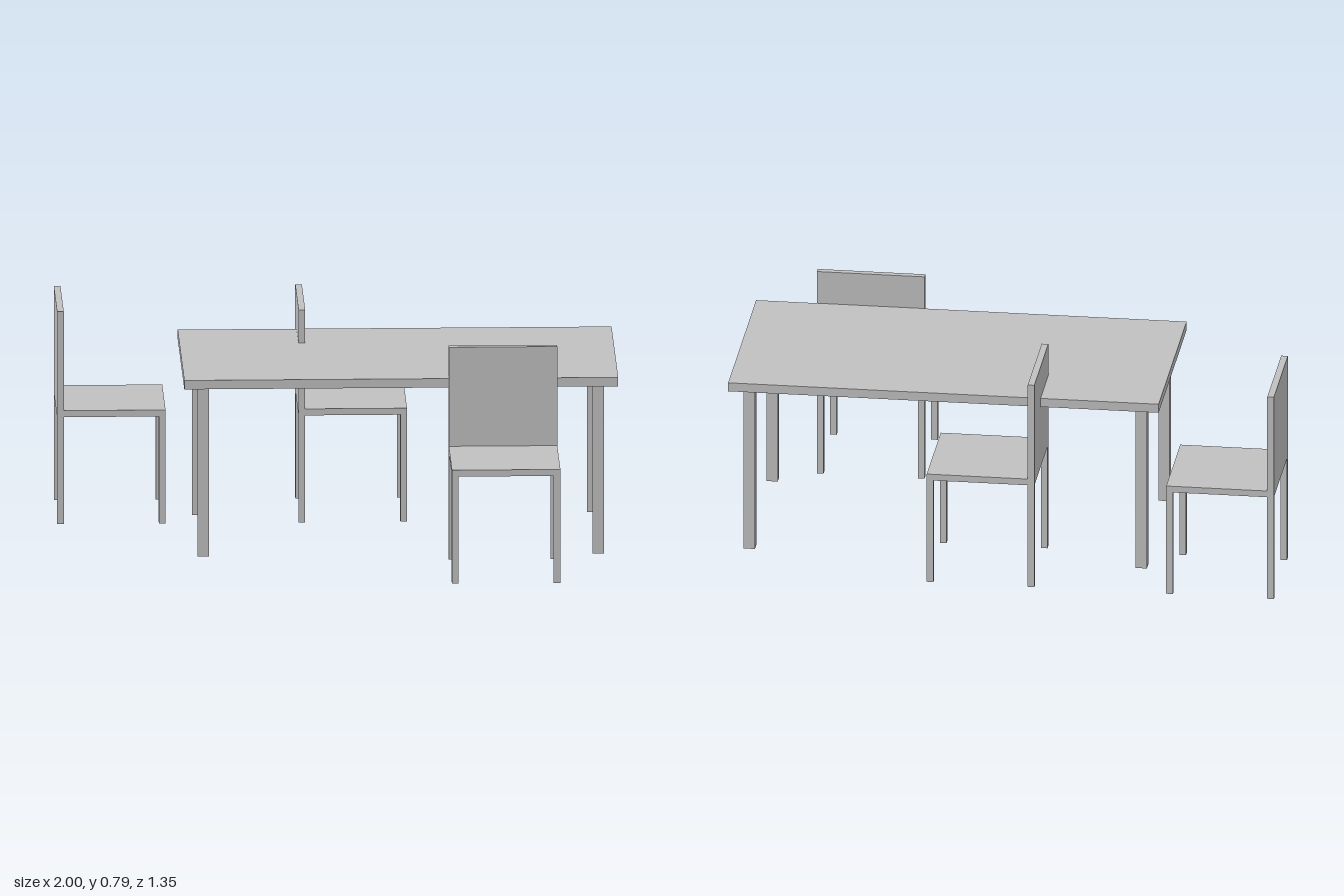
import * as THREE from 'three';

const grey = new THREE.MeshStandardMaterial({ color: 0xc0c0c0 });
grey.name = 'light grey';

// Box resting on height y, centred on x and z
function box(parent, name, w, h, d, x, y, z) {
  const mesh = new THREE.Mesh(new THREE.BoxGeometry(w, h, d), grey);
  mesh.name = name;
  mesh.position.set(x, y + h / 2, z);
  parent.add(mesh);
}

// Four square legs placed symmetrically
function legs(parent, name, size, height, dx, dz) {
  for (const sx of [-1, 1])
    for (const sz of [-1, 1])
      box(parent, name, size, height, size, sx * dx, 0, sz * dz);
}

function createTable() {
  const table = new THREE.Group();
  table.name = 'table';
  box(table, 'tableTop', 1.56, 0.033, 0.78, 0, 0.63, 0);
  legs(table, 'tableLeg', 0.041, 0.63, 0.71, 0.318);
  return table;
}

// Chair facing +z, with its backrest flush with the rear edge
function createChair() {
  const chair = new THREE.Group();
  chair.name = 'chair';
  const size = 0.39, t = 0.024, seatY = 0.395, edge = (size - t) / 2;
  box(chair, 'seat', size, t, size, 0, seatY, 0);
  box(chair, 'backrest', size, 0.366, t, 0, seatY + t, -edge);
  legs(chair, 'chairLeg', t, seatY, edge, edge);
  return chair;
}

export function createModel() {
  const model = new THREE.Group();
  model.name = 'diningSet';

  const table = createTable();
  table.position.set(0.22, 0, -0.11);
  model.add(table);

  // Two chairs face sideways behind the table, one faces forward
  for (const [x, z, turn] of [
    [-0.805, -0.478, Math.PI / 2],
    [0.063, -0.478, Math.PI / 2],
    [0.585, 0.478, 0],
  ]) {
    const chair = createChair();
    chair.position.set(x, 0, z);
    chair.rotation.y = turn;
    model.add(chair);
  }
  return model;
}
